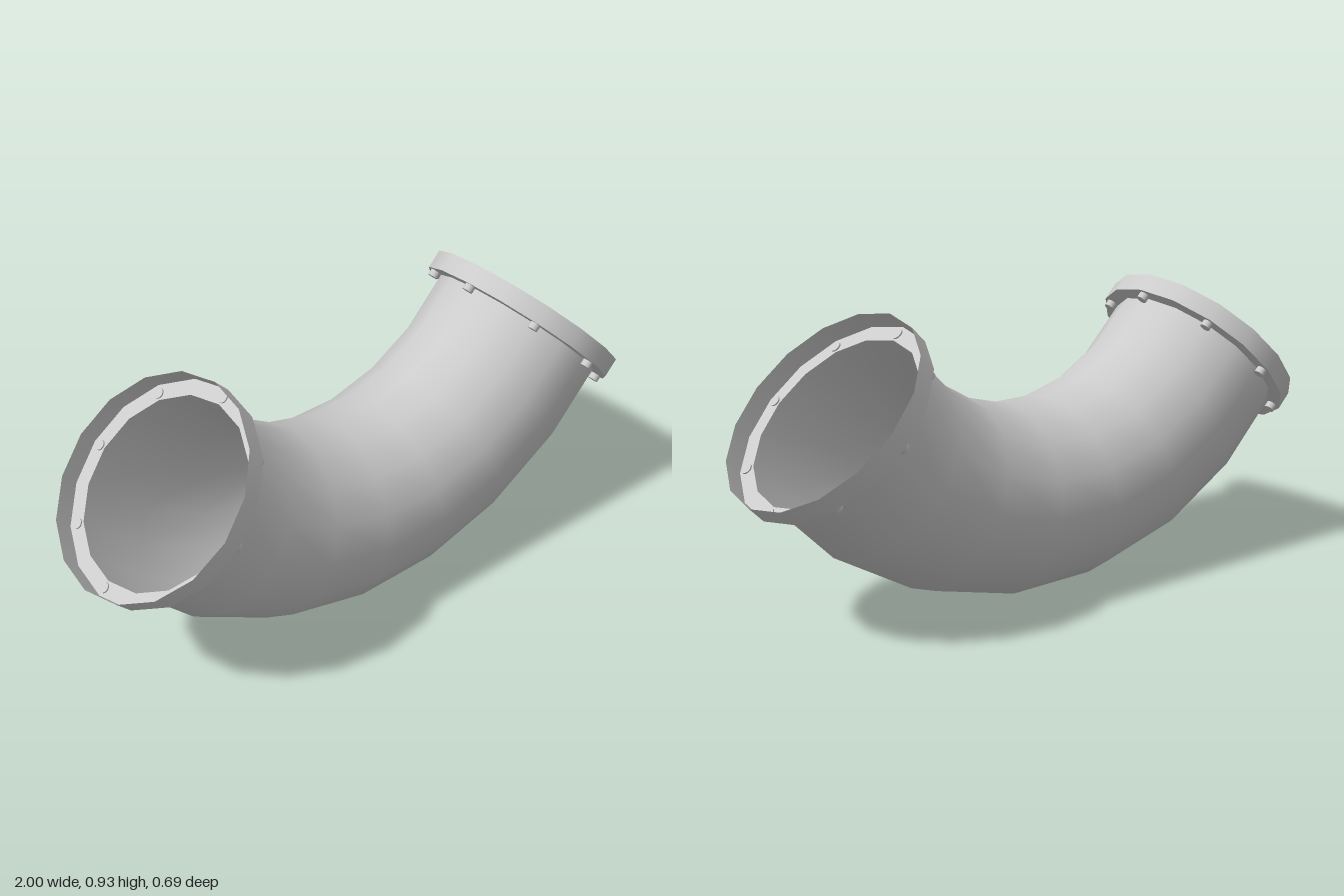
import * as THREE from 'three';

const SIDES = 16;
const PIPE_R = 0.296;      // pipe radius
const BEND_R = 0.895;      // bend centre to the axis of each straight piece
const BEND_Y = 1.191;      // height of the bend centre
const STEP = Math.PI / 12; // turn between straight pieces
const END = 0.176;         // straight run from the bend to the flange rim
const FLANGE_R = 0.343;
const DEPTH = 0.063;       // flange recess
const BOLT_R = 0.017;

const material = new THREE.MeshStandardMaterial({ color: 0xcccccc, side: THREE.DoubleSide });

function mesh(name, geometry) {
  const m = new THREE.Mesh(geometry, material);
  m.name = name;
  return m;
}

// Segmented elbow: straight pieces joined at mitred rings, open at both ends
function pipeGeometry() {
  const positions = [], index = [];
  const addRing = (angle, mitre, along) => {
    for (let i = 0; i < SIDES; i++) {
      const t = (i / SIDES) * Math.PI * 2;
      const radial = (BEND_R + PIPE_R * Math.cos(t)) / mitre;
      positions.push(
        Math.sin(angle) * radial + Math.cos(angle) * along,
        BEND_Y - Math.cos(angle) * radial + Math.sin(angle) * along,
        PIPE_R * Math.sin(t));
    }
  };
  addRing(-Math.PI / 4, 1, -(END - DEPTH));
  for (let k = -2.5; k <= 2.5; k++) addRing(k * STEP, Math.cos(STEP / 2), 0);
  addRing(Math.PI / 4, 1, END - DEPTH);

  for (let j = 0; j < 7; j++) {
    for (let i = 0; i < SIDES; i++) {
      const n = (i + 1) % SIDES;
      const a = j * SIDES + i, b = j * SIDES + n;
      const c = a + SIDES, d = b + SIDES;
      index.push(a, c, b, b, c, d);
    }
  }
  const g = new THREE.BufferGeometry();
  g.setAttribute('position', new THREE.Float32BufferAttribute(positions, 3));
  g.setIndex(index);
  g.computeVertexNormals();
  return g;
}

// Recessed flange; local +y points out of the pipe, y = 0 is the rim edge
function makeFlange(name) {
  const flange = new THREE.Group();
  flange.name = name;

  const rim = mesh('flangeRim', new THREE.CylinderGeometry(FLANGE_R, FLANGE_R, DEPTH, SIDES, 1, true));
  rim.position.y = -DEPTH / 2;

  const plate = mesh('flangePlate', new THREE.RingGeometry(PIPE_R - 0.002, FLANGE_R, SIDES));
  plate.rotation.x = -Math.PI / 2;
  plate.position.y = -DEPTH;
  flange.add(rim, plate);

  // Eight bolts through the plate
  const boltGeometry = new THREE.CylinderGeometry(BOLT_R, BOLT_R, 0.025, 12);
  for (let i = 0; i < 8; i++) {
    const t = (i / 8) * Math.PI * 2;
    const bolt = mesh('bolt', boltGeometry);
    bolt.position.set(Math.cos(t) * 0.316, -DEPTH - 0.008, Math.sin(t) * 0.316);
    flange.add(bolt);
  }
  return flange;
}

export function createModel() {
  const model = new THREE.Group();
  model.name = 'pipeElbow';
  model.add(mesh('pipe', pipeGeometry()));

  // A flange on each end, tilted 45 degrees outward
  for (const side of [-1, 1]) {
    const flange = makeFlange(side > 0 ? 'leftFlange' : 'rightFlange');
    flange.position.set(
      side * (BEND_R + END) * Math.SQRT1_2,
      BEND_Y + (END - BEND_R) * Math.SQRT1_2,
      0);
    flange.rotation.z = -side * Math.PI / 4;
    model.add(flange);
  }
  return model;
}
